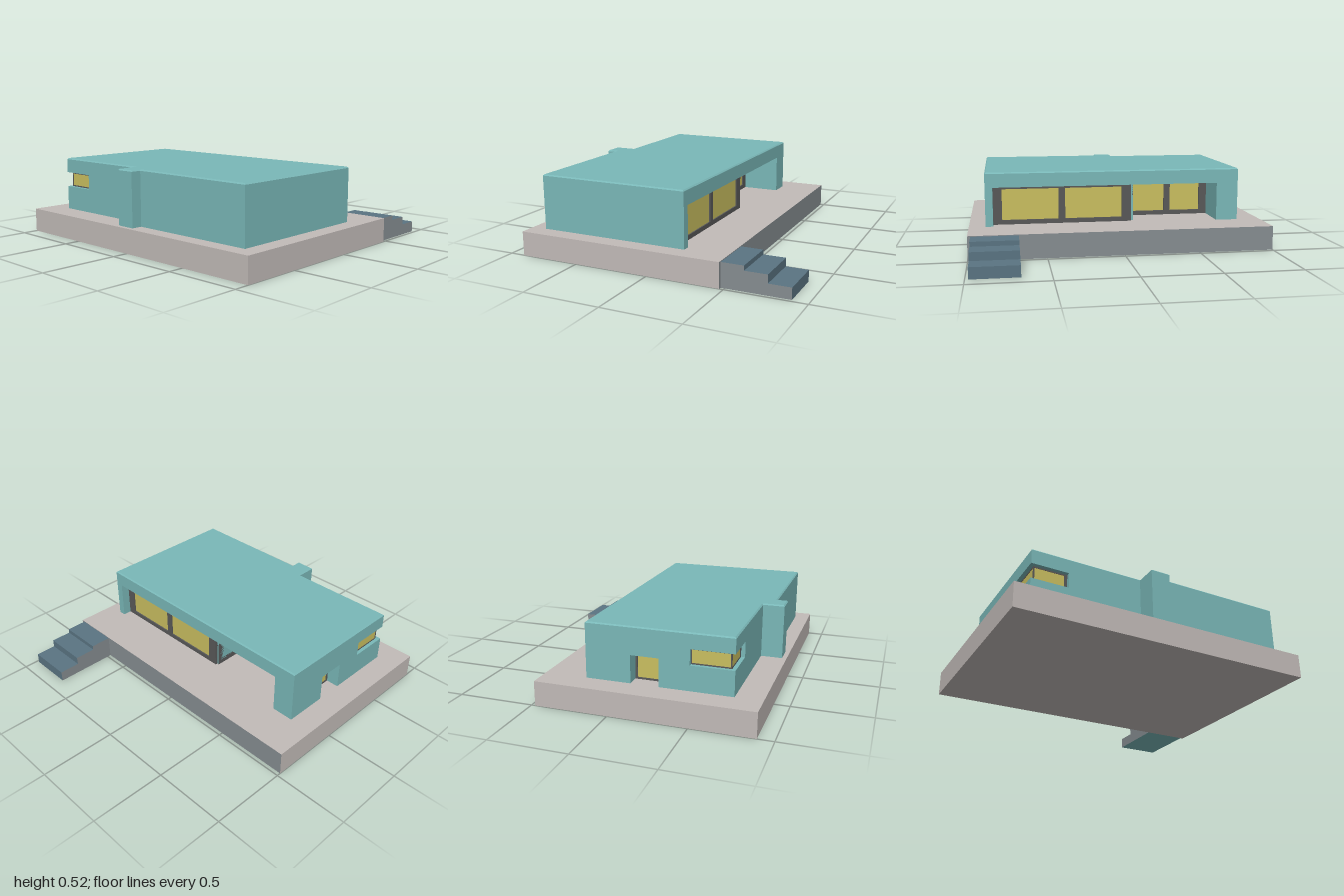
import * as THREE from 'three';

const mat = (name, color) => {
  const m = new THREE.MeshStandardMaterial({ color });
  m.name = name;
  return m;
};

export function createModel() {
  const teal = mat('teal wall', 0x7ab8b8);
  const stone = mat('warm stone', 0xc2bbb8);
  const concrete = mat('cool concrete', 0x868d91);
  const slate = mat('slate', 0x5a7482);
  const glass = mat('yellow glass', 0xcabf60);
  const dark = mat('dark frame', 0x595959);

  const model = new THREE.Group();
  model.name = 'house';

  const add = (name, geo, material, parent = model) => {
    const mesh = new THREE.Mesh(geo, material);
    mesh.name = name;
    parent.add(mesh);
    return mesh;
  };

  // Box given by its limits on each axis
  const box = (name, [x0, x1], [y0, y1], [z0, z1], material) => {
    const geo = new THREE.BoxGeometry(x1 - x0, y1 - y0, z1 - z0);
    geo.translate((x0 + x1) / 2, (y0 + y1) / 2, (z0 + z1) / 2);
    return add(name, geo, material);
  };

  // Terrace slab, with a cooler face towards the steps
  box('terrace', [-0.9, 0.475], [0, 0.16], [-1, 1],
    [concrete, stone, stone, stone, stone, stone]);

  // Entrance steps
  [[0.475, 0.155], [0.617, 0.125], [0.758, 0.072]].forEach(([x, h], i) =>
    box(`step${i + 1}`, [x, x + 0.142], [0, h], [0.68, 0.98],
      [slate, slate, slate, teal, concrete, concrete]));

  // House outline as (x, z) points, with optional openings cut into it
  const footprint = ({ recess, door, corner }) => {
    const pts = [[-0.8, 0.89], [0.2, 0.89]];
    if (recess) pts.push([0.2, 0.84], [0.125, 0.84], [0.125, -0.115], [-0.075, -0.115], [-0.075, -0.69], [0.2, -0.69]);
    pts.push([0.2, -0.84]);
    if (door) pts.push([-0.09, -0.84], [-0.09, -0.745], [-0.27, -0.745], [-0.27, -0.84]);
    if (corner) pts.push([-0.46, -0.84], [-0.46, -0.807], [-0.697, -0.807], [-0.697, -0.595], [-0.73, -0.595]);
    else pts.push([-0.73, -0.84]);
    // chimney
    pts.push([-0.73, -0.1], [-0.87, -0.1], [-0.87, 0.03], [-0.8, 0.03]);
    return new THREE.Shape(pts.map(([x, z]) => new THREE.Vector2(x, -z)));
  };

  const storey = (name, y0, y1, openings, bevel = 0) => {
    const geo = new THREE.ExtrudeGeometry(footprint(openings), {
      depth: y1 - y0 - 2 * bevel, bevelEnabled: bevel > 0, bevelSegments: 1,
      bevelSize: bevel, bevelThickness: bevel, bevelOffset: -bevel,
    });
    geo.translate(0, 0, bevel).rotateX(-Math.PI / 2).translate(0, y0, 0);
    add(name, geo, teal);
  };

  // Walls in layers, then the roof with a small chamfer
  storey('lowerWalls', 0.16, 0.32, { recess: true, door: true });
  storey('doorHeadWalls', 0.32, 0.34, { recess: true, door: true, corner: true });
  storey('upperWalls', 0.34, 0.42, { recess: true, corner: true });
  storey('roofBand', 0.42, 0.5, {});
  storey('roof', 0.492, 0.52, {}, 0.008);

  // Dark frame with glazed holes; panes are [x0, x1, y0, y1] in the panel's own plane
  const glazing = (name, width, height, depth, panes, position, turn) => {
    const group = new THREE.Group();
    group.name = name;
    const rect = (S, x0, x1, y0, y1) => new S([[x0, y0], [x1, y0], [x1, y1], [x0, y1]]
      .map(([x, y]) => new THREE.Vector2(x, y)));
    const shape = rect(THREE.Shape, 0, width, 0, height);
    shape.holes = panes.map((p) => rect(THREE.Path, ...p));
    add('frame', new THREE.ExtrudeGeometry(shape, { depth, bevelEnabled: false }), dark, group);
    for (const [x0, x1, y0, y1] of panes) {
      const pane = new THREE.BoxGeometry(x1 - x0, y1 - y0, 0.006);
      pane.translate((x0 + x1) / 2, (y0 + y1) / 2, 0.003);
      add('glass', pane, glass, group);
    }
    group.position.set(...position);
    group.rotation.y = turn;
    model.add(group);
  };

  // Terrace windows: front bay near the wall line, rear bay set deeper
  glazing('frontBay', 0.94, 0.26, 0.015,
    [[0.06, 0.44, 0.03, 0.24], [0.485, 0.875, 0.03, 0.24]], [0.125, 0.16, 0.84], Math.PI / 2);
  glazing('rearBay', 0.59, 0.26, 0.015,
    [[0.04, 0.275, 0.03, 0.24], [0.32, 0.535, 0.03, 0.24]], [-0.075, 0.16, -0.1], Math.PI / 2);
  box('bayReturn', [-0.075, 0.125], [0.16, 0.42], [-0.115, -0.1], dark);

  // Back door
  glazing('backDoor', 0.18, 0.18, 0.01,
    [[0.015, 0.165, 0.012, 0.168]], [-0.09, 0.16, -0.745], Math.PI);

  // Corner window wrapping from the back wall to the side wall
  glazing('cornerWindowBack', 0.245, 0.1, 0.008,
    [[0.006, 0.24, 0.008, 0.09]], [-0.46, 0.32, -0.807], Math.PI);
  glazing('cornerWindowSide', 0.22, 0.1, 0.008,
    [[0.005, 0.2, 0.008, 0.09]], [-0.697, 0.32, -0.815], -Math.PI / 2);

  return model;
}
